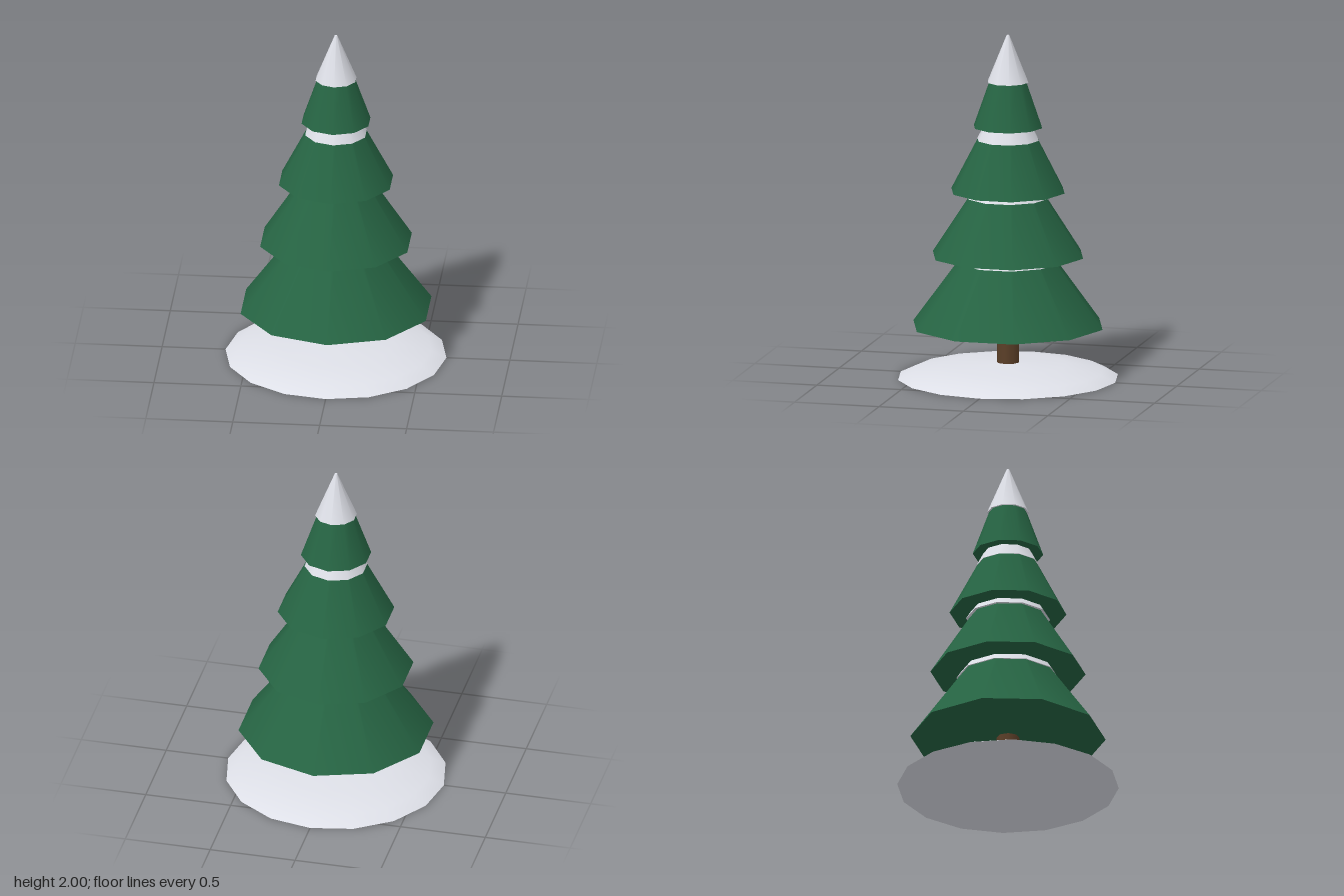
import * as THREE from 'three';

export function createModel() {
  const tree = new THREE.Group();
  tree.name = 'snowyTree';

  const material = (name, color) => {
    const m = new THREE.MeshStandardMaterial({ color });
    m.name = name;
    return m;
  };
  const green = material('needleGreen', 0x266443);
  const snow = material('snowWhite', 0xe4e6ee);
  const bark = material('barkBrown', 0x5b3f28);

  const add = (name, geometry, mat) => {
    const mesh = new THREE.Mesh(geometry, mat);
    mesh.name = name;
    tree.add(mesh);
    return mesh;
  };

  // Closed tapered ring standing on y = bottom
  const frustum = (name, bottom, top, rBottom, rTop, sides, mat) => {
    const height = top - bottom;
    const mesh = add(name, new THREE.CylinderGeometry(rTop, rBottom, height, sides), mat);
    mesh.position.y = bottom + height / 2;
  };

  // Low snow mound with a flat underside
  const mound = [[0.635, 0], [0.55, 0.04], [0.335, 0.077], [0, 0.092]];
  add('snowMound', new THREE.LatheGeometry(mound.map(([x, y]) => new THREE.Vector2(x, y)), 16), snow);
  add('snowMoundBase', new THREE.CircleGeometry(0.635, 16).rotateX(Math.PI / 2), snow);

  // Trunk
  frustum('trunk', 0.01, 0.45, 0.066, 0.066, 8, bark);

  // Branch tiers: bottom, top, bottom radius, top radius
  [
    [0.305, 1.0, 0.56, 0.05],
    [0.715, 1.33, 0.445, 0.045],
    [1.09, 1.65, 0.335, 0.042],
    [1.465, 1.8, 0.202, 0.083],
  ].forEach(([b, t, rb, rt], i) => frustum(`branchTier${i + 1}`, b, t, rb, rt, 10, green));

  // Snow collars peeking out under the upper tiers
  [
    [0.677, 0.76, 0.296, 0.24],
    [1.055, 1.13, 0.241, 0.195],
    [1.39, 1.5, 0.181, 0.125],
  ].forEach(([b, t, rb, rt], i) => frustum(`snowCollar${i + 1}`, b, t, rb, rt, 10, snow));

  // Snow cap on the tip
  frustum('snowCap', 1.727, 2, 0.12, 0.008, 10, snow);

  return tree;
}
